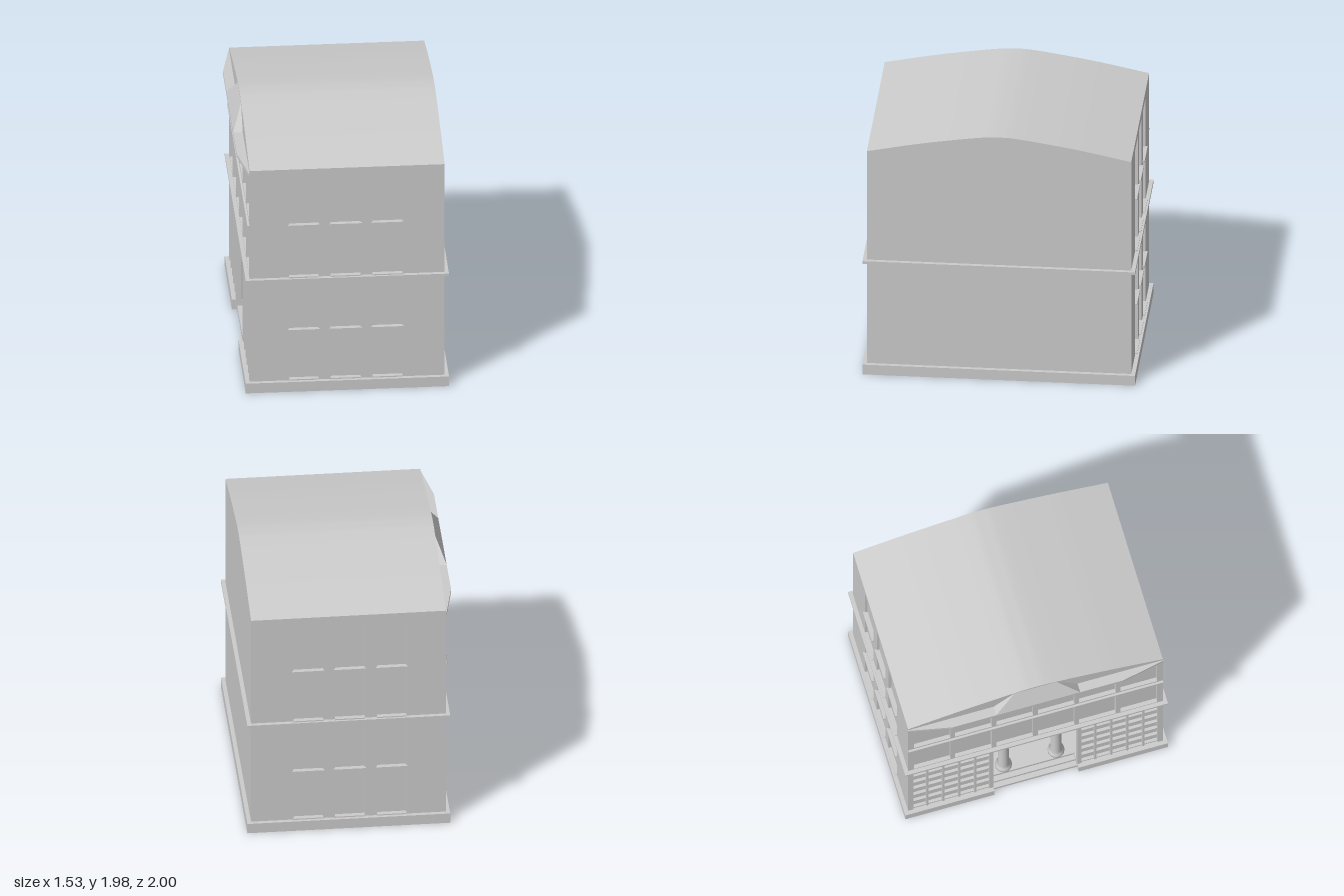
import * as THREE from 'three';

export function createModel() {
  const group = new THREE.Group();
  const mat = new THREE.MeshStandardMaterial({ color: 0xcccccc });
  const add = (name, geo, parent = group) => {
    const m = new THREE.Mesh(geo, mat);
    m.name = name;
    parent.add(m);
    return m;
  };
  // Box given by its min and max on each axis
  const box = (name, x0, x1, y0, y1, z0, z1, parent) =>
    add(name, new THREE.BoxGeometry(x1 - x0, y1 - y0, z1 - z0)
      .translate((x0 + x1) / 2, (y0 + y1) / 2, (z0 + z1) / 2), parent);
  const shapeOf = (pts) => new THREE.Shape(pts.map(([a, b]) => new THREE.Vector2(a, b)));
  const extrude = (shape, depth) =>
    new THREE.ExtrudeGeometry(shape, { depth, bevelEnabled: false, curveSegments: 8 });
  // Plan outline (x, -z) raised from y0 to y1
  const plan = (name, pts, y0, y1) =>
    add(name, extrude(shapeOf(pts), y1 - y0).rotateX(-Math.PI / 2).translate(0, y0, 0));

  // Plinth with a notch for the entrance, and the steps in it
  plan('plinth', [[-0.73, -1], [0.76, -1], [0.76, 1], [-0.73, 1],
    [-0.73, 0.32], [-0.61, 0.32], [-0.61, -0.32], [-0.73, -0.32]], 0, 0.08);
  [[-0.69, 0.03], [-0.65, 0.055]].forEach(([x, y]) =>
    box('entranceStep', x, -0.6, 0, y, -0.32, 0.32));

  // Ground floor core with a splayed entrance alcove
  plan('groundFloor', [[-0.67, -0.95], [0.73, -0.95], [0.73, 0.95], [-0.67, 0.95],
    [-0.67, 0.32], [-0.34, 0.45], [-0.34, -0.45], [-0.67, -0.32]], 0.08, 0.89);
  box('upperFloor', -0.67, 0.73, 0.89, 1.79, -0.95, 0.95);

  // Curved roof
  const top = new THREE.SplineCurve([[0.97, 1.82], [0.6, 1.896], [0.3, 1.946], [0.1, 1.973],
    [0, 1.977], [-0.1, 1.973], [-0.3, 1.946], [-0.6, 1.896], [-0.97, 1.82]]
    .map(([a, b]) => new THREE.Vector2(a, b))).getPoints(32);
  const roof = new THREE.Shape([new THREE.Vector2(-0.97, 1.79), new THREE.Vector2(0.97, 1.79), ...top]);
  add('roof', extrude(roof, 1.43).rotateY(Math.PI / 2).translate(-0.7, 0, 0));

  // Side walls with recessed windows and their sills
  const columnsX = [[-0.41, -0.195], [-0.105, 0.115], [0.2, 0.42]];
  const rowsY = [[0.09, 0.895, 0.495], [0.935, 1.76, 1.358]];
  for (const s of [1, -1]) {
    const wall = new THREE.Group();
    wall.name = s > 0 ? 'frontWall' : 'backWall';
    group.add(wall);
    const shape = shapeOf([[-0.7, 0.08], [0.73, 0.08], [0.73, 1.79], [-0.7, 1.79]]);
    for (const [x0, x1] of columnsX) {
      for (const [y0, y1, mid] of rowsY) {
        shape.holes.push(new THREE.Path([[x0, y0], [x0, y1], [x1, y1], [x1, y0]]
          .map(([a, b]) => new THREE.Vector2(a, b))));
        const z = [0.945 * s, 0.985 * s].sort((a, b) => a - b);
        box('windowSill', x0 - 0.008, x1 + 0.008, mid - 0.009, mid + 0.007, ...z, wall);
        box('windowLedge', x0, x1, y0 - 0.005, y0 + 0.004, ...z, wall);
      }
    }
    add('wallSkin', extrude(shape, 0.02).translate(0, 0, s > 0 ? 0.95 : -0.97), wall);
  }

  // Band between the floors and the beam over the ground floor
  box('floorBand', -0.73, 0.76, 0.908, 0.93, -1, 1);
  box('groundBeam', -0.7, -0.66, 0.875, 0.94, -0.95, 0.95);

  // Upper facade: six bays in two rows
  const facade = new THREE.Group();
  facade.name = 'upperFacade';
  group.add(facade);
  for (let i = 0; i <= 6; i++) {
    const z = -0.945 + i * 0.315;
    box('facadePost', -0.7, -0.66, 0.93, 1.79, z - 0.018, z + 0.018, facade);
  }
  box('middleRail', -0.7, -0.66, 1.325, 1.385, -0.95, 0.95, facade);
  box('topRail', -0.7, -0.66, 1.75, 1.79, -0.95, 0.95, facade);
  add('roundRail', new THREE.CylinderGeometry(0.014, 0.014, 1.94, 10)
    .rotateX(Math.PI / 2).translate(-0.702, 1.355, 0), facade);

  // Eave slab, tapering towards both ends
  plan('eaveSlab', [[-0.69, -0.97], [-0.69, 0.97], [-0.705, 0.97], [-0.77, 0.65],
    [-0.77, -0.65], [-0.705, -0.97]], 1.775, 1.8);

  // Hipped hood over the middle of the eave
  const a = [-0.77, 1.8, 0.32], b = [-0.77, 1.8, -0.32];
  const c = [-0.7, 1.8, 0.32], d = [-0.7, 1.8, -0.32];
  const e = [-0.7, 1.96, 0.16], f = [-0.7, 1.96, -0.16];
  const hood = new THREE.BufferGeometry();
  hood.setAttribute('position', new THREE.Float32BufferAttribute(
    [b, a, e, b, e, f, a, c, e, d, b, f].flat(), 3));
  hood.computeVertexNormals();
  add('eaveHood', hood);

  // Gridded glazing on both sides of the entrance
  for (const s of [1, -1]) {
    const grid = new THREE.Group();
    grid.name = 'gridWindow';
    group.add(grid);
    for (let i = 0; i <= 5; i++) {
      const z = s * (0.335 + i * 0.122), w = i % 5 ? 0.008 : 0.015;
      box('mullion', -0.7, -0.66, 0.08, 0.885, z - w, z + w, grid);
    }
    for (let j = 0; j <= 6; j++) {
      const y = 0.09 + j * 0.131;
      box('gridBar', -0.692, -0.66, y - 0.008, y + 0.008,
        Math.min(s * 0.33, s * 0.95), Math.max(s * 0.33, s * 0.95), grid);
    }
  }

  // Entrance floor and columns
  box('entranceFloor', -0.61, -0.33, 0.07, 0.082, -0.44, 0.44);
  const profile = [[0, 0.08], [0.062, 0.08], [0.062, 0.1], [0.056, 0.105], [0.056, 0.12],
    [0.042, 0.135], [0.037, 0.83], [0.05, 0.85], [0.058, 0.865], [0.058, 0.89]]
    .map(([r, y]) => new THREE.Vector2(r, y));
  for (const z of [-0.2, 0.2]) {
    add('entranceColumn', new THREE.LatheGeometry(profile, 20)).position.set(-0.55, 0, z);
  }
  return group;
}
